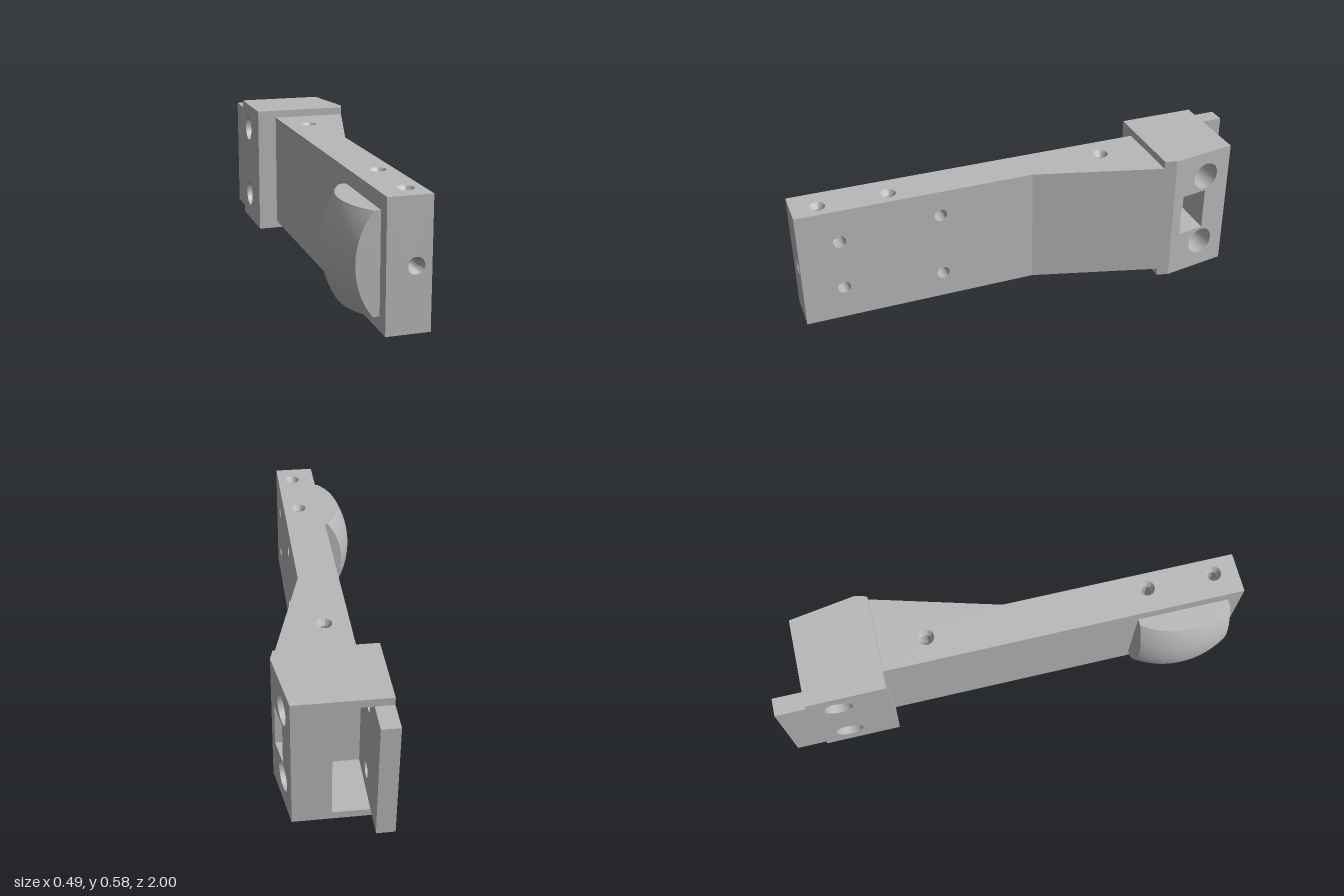
import * as THREE from 'three';
import { toCreasedNormals } from 'three/addons/utils/BufferGeometryUtils.js';

const grey = new THREE.MeshStandardMaterial({ color: 0xb8b8b8, side: THREE.DoubleSide });
grey.name = 'plain grey';

const V = (x, y, z) => new THREE.Vector3(x, y, z);
const X = V(1, 0, 0), Y = V(0, 1, 0), Z = V(0, 0, 1);

function makeShape(points, circles = [], rects = []) {
  const shape = new THREE.Shape(points.map(([a, b]) => new THREE.Vector2(a, b)));
  for (const [a, b, r] of circles) shape.holes.push(new THREE.Path().absarc(a, b, r, 0, Math.PI * 2, true));
  for (const [a0, a1, b0, b1] of rects) {
    shape.holes.push(new THREE.Path([[a0, b0], [a0, b1], [a1, b1], [a1, b0]].map(p => new THREE.Vector2(...p))));
  }
  return shape;
}
const rect = (a0, a1, b0, b1) => [[a0, b0], [a1, b0], [a1, b1], [a0, b1]];

export function createModel() {
  const model = new THREE.Group();
  model.name = 'armBracket';

  function add(name, geometry, parent = model) {
    const mesh = new THREE.Mesh(geometry, grey);
    mesh.name = name;
    parent.add(mesh);
    return mesh;
  }

  // Lays a flat shape, or an extrusion of it, on the axes u, v and u x v
  function place(geometry, u, v, origin) {
    const n = u.clone().cross(v);
    const m = new THREE.Matrix4().makeBasis(u, v, n).setPosition(origin);
    return geometry.applyMatrix4(m);
  }

  // Flat panel with drilled holes: [a, b, mouth radius, bore radius, sink depth, depth, through]
  function panel(name, u, v, origin, points, holes = []) {
    const shape = makeShape(points, holes);
    add(name, place(new THREE.ShapeGeometry(shape, 16), u, v, origin));
    const n = u.clone().cross(v).normalize();
    for (const [a, b, r1, r2, sink, depth, through] of holes) {
      const profile = [[r1, 0], [r2, -sink], [r2, -depth]];
      if (!through) profile.push([0, -depth]);
      const lathe = new THREE.LatheGeometry(profile.map(p => new THREE.Vector2(...p)), 32);
      const bore = add(name + 'Hole', toCreasedNormals(lathe, 0.5));
      bore.position.copy(origin).addScaledVector(u, a).addScaledVector(v, b);
      bore.quaternion.setFromUnitVectors(Y, n);
    }
  }

  const extrude = (shape, depth) => new THREE.ExtrudeGeometry(shape, { depth, bevelEnabled: false, curveSegments: 16 });

  // Main dimensions
  const y0 = 0.032, y1 = 0.543, height = 0.576;
  const xl = -0.1, xr = 0.073;
  const neckZ = -0.54, neckX = 0.226, cornerZ = -0.59, cornerX = 0.24;
  const backZ = -0.873, backX = 0.195;
  const headL = -0.185, slotL = -0.11, slotR = 0.04;

  // Arm: straight front half, widening towards the head
  const plan = [[xl, neckZ], [neckX, neckZ], [xr, 0], [xr, 1], [xl, 1]];
  const drilled = [[-0.34, true], [0.605, false], [0.895, false]];
  const sinks = drilled.map(([z, t]) => [0.006, z, 0.034, 0.018, 0.025, t ? 0.256 : 0.15, t]);
  panel('armTop', Z, X, V(0, y1, 0), plan.map(([x, z]) => [z, x]),
    sinks.map(([x, z, ...rest]) => [z, x, ...rest]));
  panel('armUnderside', X, Z, V(0, y0, 0), plan, sinks);
  panel('armFront', X, Y, V(0, 0, 1), rect(xl, xr, y0, y1), [[0.013, 0.286, 0.033, 0.018, 0.025, 0.12]]);
  panel('armInnerSide', Z, Y, V(xl, 0, 0), rect(neckZ, 1, y0, y1));
  const pins = [[0.4, 0.83], [0.178, 0.83], [0.433, 0.405], [0.147, 0.405]];
  panel('armOuterSide', Y, Z, V(xr, 0, 0), rect(y0, y1, 0, 1),
    pins.map(([y, z]) => [y, z, 0.027, 0.027, 0.01, 0.07]));
  const slope = V(xr - neckX, 0, -neckZ);
  const slopeLength = slope.length();
  panel('armSlope', Y, slope.normalize(), V(neckX, 0, neckZ), rect(y0, y1, 0, slopeLength));

  // Domed pad: a square block whose outer face follows a sphere
  const half = 0.197, radius = 0.38;
  const pad = new THREE.BoxGeometry(0.1, half * 2, half * 2, 1, 28, 28);
  const p = pad.attributes.position;
  for (let i = 0; i < p.count; i++) {
    const y = p.getY(i), z = p.getZ(i);
    p.setX(i, p.getX(i) < 0 ? 0.132 - Math.sqrt(radius * radius - y * y - z * z) : -0.095);
  }
  add('domedPad', toCreasedNormals(pad, 0.5)).position.set(0, 0.285, 0.743);

  // Head: lids above and below the slot
  const head = new THREE.Group();
  head.name = 'head';
  model.add(head);
  const lid = [[headL, backZ], [backX, backZ], [cornerX, cornerZ], [neckX, neckZ], [headL, neckZ]];
  const zx = pts => makeShape(pts.map(([x, z]) => [z, x]));
  add('headLid', place(extrude(zx(lid), height - y1), Z, X, V(0, y1, 0)), head);
  add('headFloor', place(extrude(zx(lid), y0), Z, X, V(0, 0, 0)), head);

  // Solid wall between the arm and the slot
  const wall = [[headL, cornerZ], [cornerX, cornerZ], [neckX, neckZ], [headL, neckZ]];
  add('headFrontWall', place(extrude(zx(wall), y1 - y0), Z, X, V(0, y0, 0)), head);

  // Outer block with two bores and a window, its outer face sloping to the back
  const bolts = [0.128, 0.46], boltZ = -0.752;
  const blockShape = makeShape(rect(y0, y1, backZ, cornerZ),
    bolts.map(y => [y, boltZ, 0.06]), [[0.2, 0.387, -0.755, -0.635]]);
  const block = place(extrude(blockShape, 0.1), Y, Z, V(slotR, 0, 0));
  const q = block.attributes.position;
  for (let i = 0; i < q.count; i++) {
    if (q.getX(i) < slotR + 0.05) continue;
    const t = (q.getZ(i) - backZ) / (cornerZ - backZ);
    q.setX(i, backX + (cornerX - backX) * t);
  }
  block.computeVertexNormals();
  add('headOuterBlock', toCreasedNormals(block, 0.5), head);

  // Long tab plate on the other side of the slot, counterbored from outside
  const middle = -0.148;
  for (const [name, x0, x1, r] of [['tabOuterLayer', headL, middle, 0.06], ['tabInnerLayer', middle, slotL, 0.035]]) {
    const shape = makeShape(rect(y0, y1, -1, cornerZ), bolts.map(y => [y, boltZ, r]));
    add(name, toCreasedNormals(place(extrude(shape, x1 - x0), Y, Z, V(x0, 0, 0)), 0.5), head);
  }

  return model;
}
